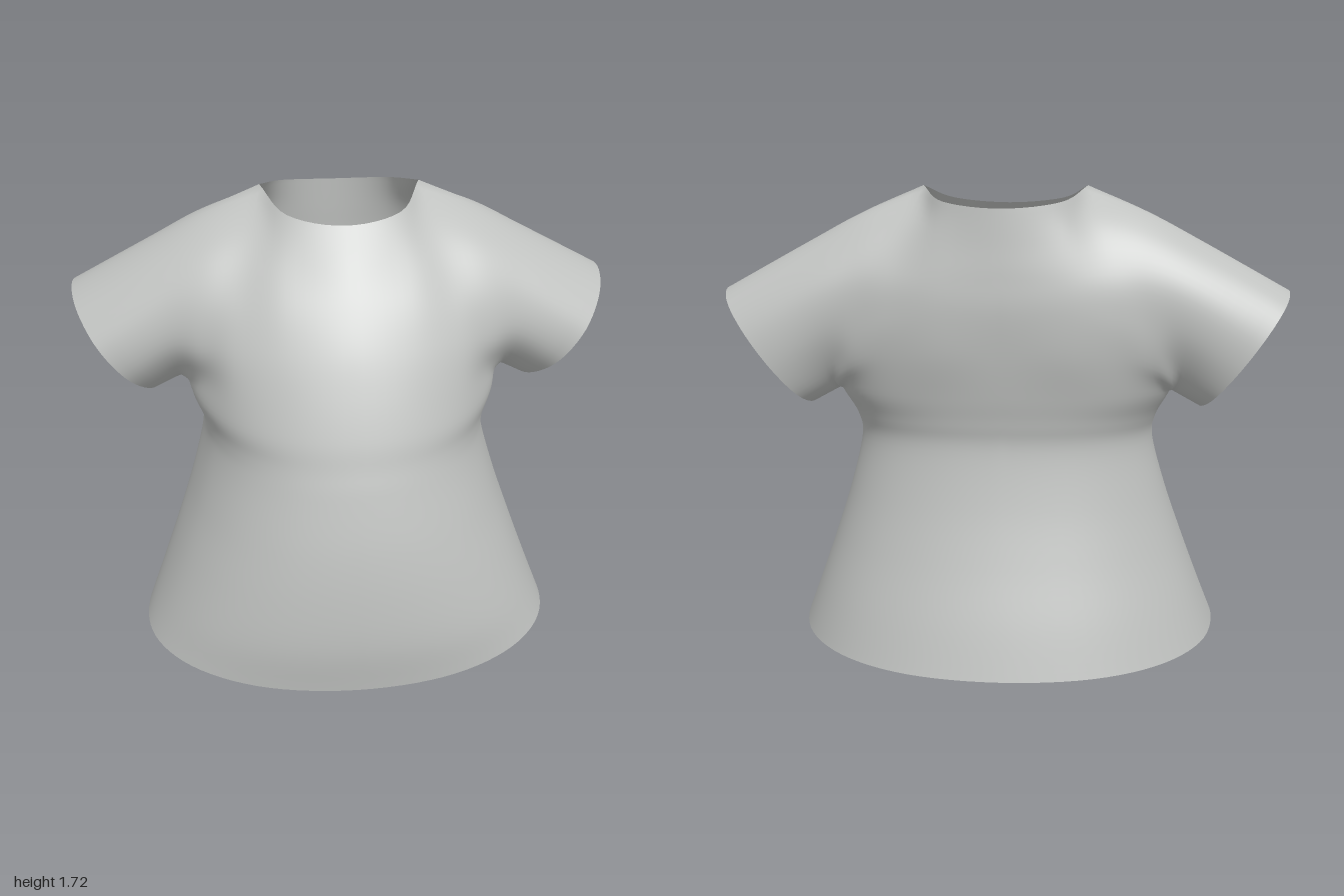
import * as THREE from 'three';
import { mergeVertices } from 'three/addons/utils/BufferGeometryUtils.js';

const V = (x, y, z) => new THREE.Vector3(x, y, z);
const STEPS = 6; // subdivisions between neighbouring control points

// Torso rings: y, half width, front z, back z, z of the side seam
const RINGS = [
  [0, 0.81, 0.6, -0.615, 0.08],
  [0.2, 0.745, 0.62, -0.565, 0.04],
  [0.4, 0.67, 0.61, -0.5, 0],
  [0.6, 0.6, 0.58, -0.445, -0.05],
  [0.8, 0.545, 0.53, -0.41, -0.1],
  [0.9, 0.55, 0.5, -0.42, -0.15],
  [1.0, 0.595, 0.47, -0.44, -0.2],
];

// Columns running from armpit level up to the neckline or shoulder seam
const FRONT = [
  [[0, 1.14, 0.415], [0, 1.28, 0.35], [0, 1.41, 0.27], [0, 1.53, 0.18], [0, 1.65, 0.08]],
  [[0.22, 1.14, 0.38], [0.22, 1.28, 0.315], [0.22, 1.42, 0.23], [0.21, 1.55, 0.12], [0.2, 1.67, 0.01]],
  [[0.41, 1.13, 0.28], [0.4, 1.27, 0.24], [0.375, 1.42, 0.16], [0.335, 1.58, 0.02], [0.29, 1.72, -0.19]],
  [[0.53, 1.1, 0.12], [0.52, 1.23, 0.165], [0.51, 1.4, 0.12], [0.5, 1.55, 0], [0.5, 1.63, -0.19]],
  [[0.615, 1.05, -0.02], [0.635, 1.2, 0.1], [0.66, 1.36, 0.08], [0.685, 1.48, -0.03], [0.7, 1.525, -0.19]],
];
const BACK = [
  [[0, 1.15, -0.465], [0, 1.3, -0.48], [0, 1.42, -0.475], [0, 1.53, -0.465], [0, 1.65, -0.455]],
  [[0.22, 1.15, -0.46], [0.22, 1.3, -0.47], [0.21, 1.42, -0.46], [0.205, 1.55, -0.43], [0.2, 1.67, -0.39]],
  [[0.41, 1.14, -0.42], [0.4, 1.28, -0.435], [0.37, 1.43, -0.42], [0.335, 1.59, -0.34], [0.29, 1.72, -0.19]],
  [[0.53, 1.1, -0.38], [0.52, 1.25, -0.41], [0.505, 1.42, -0.4], [0.5, 1.56, -0.32], [0.5, 1.63, -0.19]],
  [[0.615, 1.05, -0.32], [0.635, 1.2, -0.4], [0.66, 1.36, -0.4], [0.685, 1.48, -0.32], [0.7, 1.525, -0.19]],
];

const half = (a, b) => b.clone().sub(a).multiplyScalar(0.5);
const extend = (a, b) => b.clone().multiplyScalar(2).sub(a);

function hermite(a, b, ma, mb, t) {
  const t2 = t * t, t3 = t2 * t;
  return V(0, 0, 0)
    .addScaledVector(a, 2 * t3 - 3 * t2 + 1)
    .addScaledVector(ma, t3 - 2 * t2 + t)
    .addScaledVector(b, 3 * t2 - 2 * t3)
    .addScaledVector(mb, t3 - t2);
}

// Smooth curve through pts; before and after steer its ends, fix adjusts tangents
function spline(pts, before, after, fix) {
  const n = pts.length - 1;
  const all = [before || extend(pts[1], pts[0]), ...pts, after || extend(pts[n - 1], pts[n])];
  const out = [];
  for (let i = 0; i < n; i++) {
    let tangents = [half(all[i], all[i + 2]), half(all[i + 1], all[i + 3])];
    if (fix) tangents = fix(i, ...tangents);
    for (let k = i ? 1 : 0; k <= STEPS; k++) out.push(hermite(pts[i], pts[i + 1], ...tangents, k / STEPS));
  }
  return out;
}

// Control points for one panel (side 1 = front, -1 = back)
function controlNet(side) {
  const torso = [0, 22, 45, 68, 90].map((deg) => RINGS.map(([y, w, zf, zb, zc], row) => {
    const a = THREE.MathUtils.degToRad(deg);
    const s = Math.sin(a) ** 0.91, c = deg === 90 ? 0 : Math.cos(a) ** 0.91;
    const hem = row ? 0 : (side > 0 ? 0.035 * s * s : 0.035 - 0.005 * c);
    return V(w * s, y + hem, zc + ((side > 0 ? zf : zb) - zc) * c);
  }));
  const upper = (side > 0 ? FRONT : BACK).map((col, s) => [torso[s][6], ...col.map((p) => V(...p))]);
  // Slanted oval cuff
  upper.push([0, 1, 2, 3, 4, 5].map((k) => {
    const a = (k * Math.PI) / 5, c = Math.cos(a);
    const sin = k % 5 ? Math.sin(a) : 0;
    return V(0.85 - 0.15 * c, 1.152 - 0.208 * c, -0.165 - 0.045 * c * c + side * 0.255 * sin);
  }));
  return { torso, upper };
}

// Fill the columns of a panel along their length
function columns(net, other) {
  return {
    torso: net.torso.map((c, s) => spline(c, null, s < 4 ? net.upper[s][1] : null)),
    upper: net.upper.map((c, s) => spline(c,
      s < 4 ? net.torso[s][5] : other.upper[s][1],
      s > 2 ? other.upper[s][4] : null)),
  };
}

const mirrorX = (p) => V(-p.x, p.y, p.z);

function panelRows(cols, other) {
  const torso = cols.torso[0].map((_, r) => {
    const row = cols.torso.map((c) => c[r]);
    return spline(row, mirrorX(row[1]), other.torso[3][r]);
  });
  const last = cols.upper[0].length - 1;
  const upper = cols.upper[0].map((_, r) => {
    const p = cols.upper.map((c) => c[r]);
    const open = THREE.MathUtils.smoothstep(r / STEPS, 0, 1.5); // leaving the armpit
    const seam = THREE.MathUtils.smoothstep(r, last - STEPS, last); // nearing the shoulder seam
    const wrap = half(p[3], other.upper[3][r]);
    return spline(p, mirrorX(p[1]), null, (i, a, b) => {
      if (i === 1) b.lerp(p[2].clone().sub(p[1]), seam);
      if (i === 2) a.lerp(p[3].clone().sub(p[2]), seam);
      if (i === 3) b = wrap.clone().lerp(b, open);
      if (i === 4) a = p[5].clone().sub(p[4]).lerp(a, open);
      return [a, b];
    });
  });
  return [torso, upper];
}

// Turn rows of points into triangles
function addGrid(rows, flip, mirror, pos, index) {
  const base = pos.length / 3, w = rows[0].length;
  rows.forEach((row) => row.forEach((p) => pos.push(mirror * p.x, p.y, p.z)));
  for (let r = 0; r < rows.length - 1; r++) {
    for (let c = 0; c < w - 1; c++) {
      const a = base + r * w + c, b = a + 1, d = a + w, e = d + 1;
      if (flip) index.push(a, d, b, b, d, e);
      else index.push(a, b, d, b, e, d);
    }
  }
}

export function createModel() {
  const fabric = new THREE.MeshStandardMaterial({ color: 0xc0c2c0, side: THREE.DoubleSide });
  fabric.name = 'light grey fabric';

  const frontNet = controlNet(1), backNet = controlNet(-1);
  const front = columns(frontNet, backNet), back = columns(backNet, frontNet);
  const pos = [], index = [];
  for (const mirror of [1, -1]) {
    for (const rows of panelRows(front, back)) addGrid(rows, mirror < 0, mirror, pos, index);
    for (const rows of panelRows(back, front)) addGrid(rows, mirror > 0, mirror, pos, index);
  }

  // Weld the panels along their seams so the cloth shades smoothly
  let geometry = new THREE.BufferGeometry();
  geometry.setAttribute('position', new THREE.Float32BufferAttribute(pos, 3));
  geometry.setIndex(index);
  geometry = mergeVertices(geometry, 1e-4);
  geometry.computeVertexNormals();

  const shirt = new THREE.Mesh(geometry, fabric);
  shirt.name = 'shirt';
  const group = new THREE.Group();
  group.name = 'shortSleevedShirt';
  group.add(shirt);
  return group;
}
